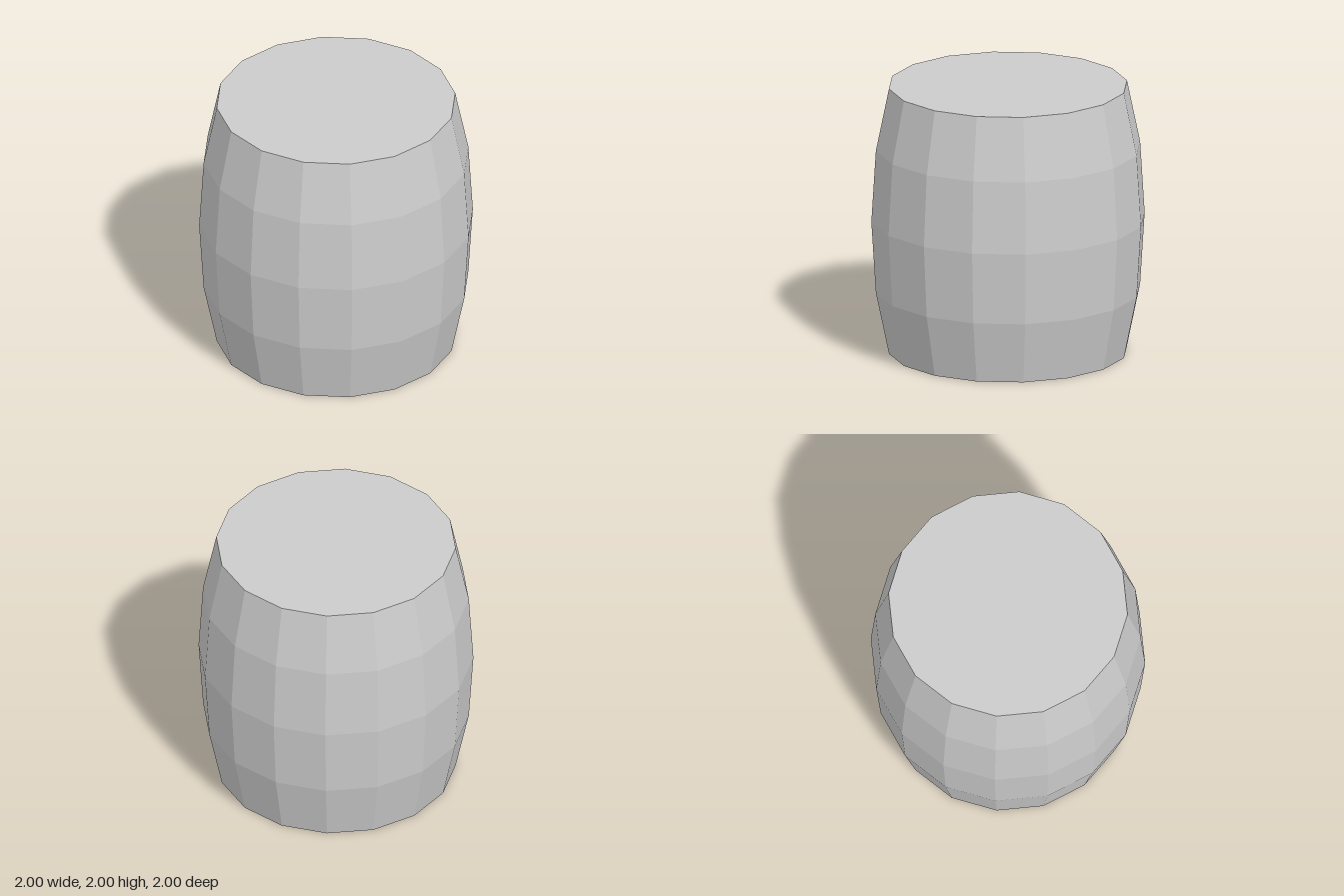
import * as THREE from 'three';

const SIDES = 16;
// Rings from the middle of the barrel outward: [distance from middle, radius]
const RINGS = [[0, 1], [0.535, 0.967], [1, 0.871]];

export function createModel() {
  const group = new THREE.Group();
  group.name = 'barrel';

  const grey = new THREE.MeshStandardMaterial({ color: 0xcccccc });
  grey.name = 'light grey';

  // Closed cylinder with four bands, bulged to the ring profile
  const cylinder = new THREE.CylinderGeometry(1, 1, 2, SIDES, 4);
  const pos = cylinder.attributes.position;
  for (let i = 0; i < pos.count; i++) {
    const y = pos.getY(i);
    const [height, radius] = RINGS[Math.round(Math.abs(y) * 2)];
    pos.setXYZ(i, pos.getX(i) * radius, 1 + Math.sign(y) * height, pos.getZ(i) * radius);
  }

  // Separate faces give the faceted look
  const faceted = cylinder.toNonIndexed();
  faceted.computeVertexNormals();

  const body = new THREE.Mesh(faceted, grey);
  body.name = 'barrelBody';
  group.add(body);
  return group;
}
